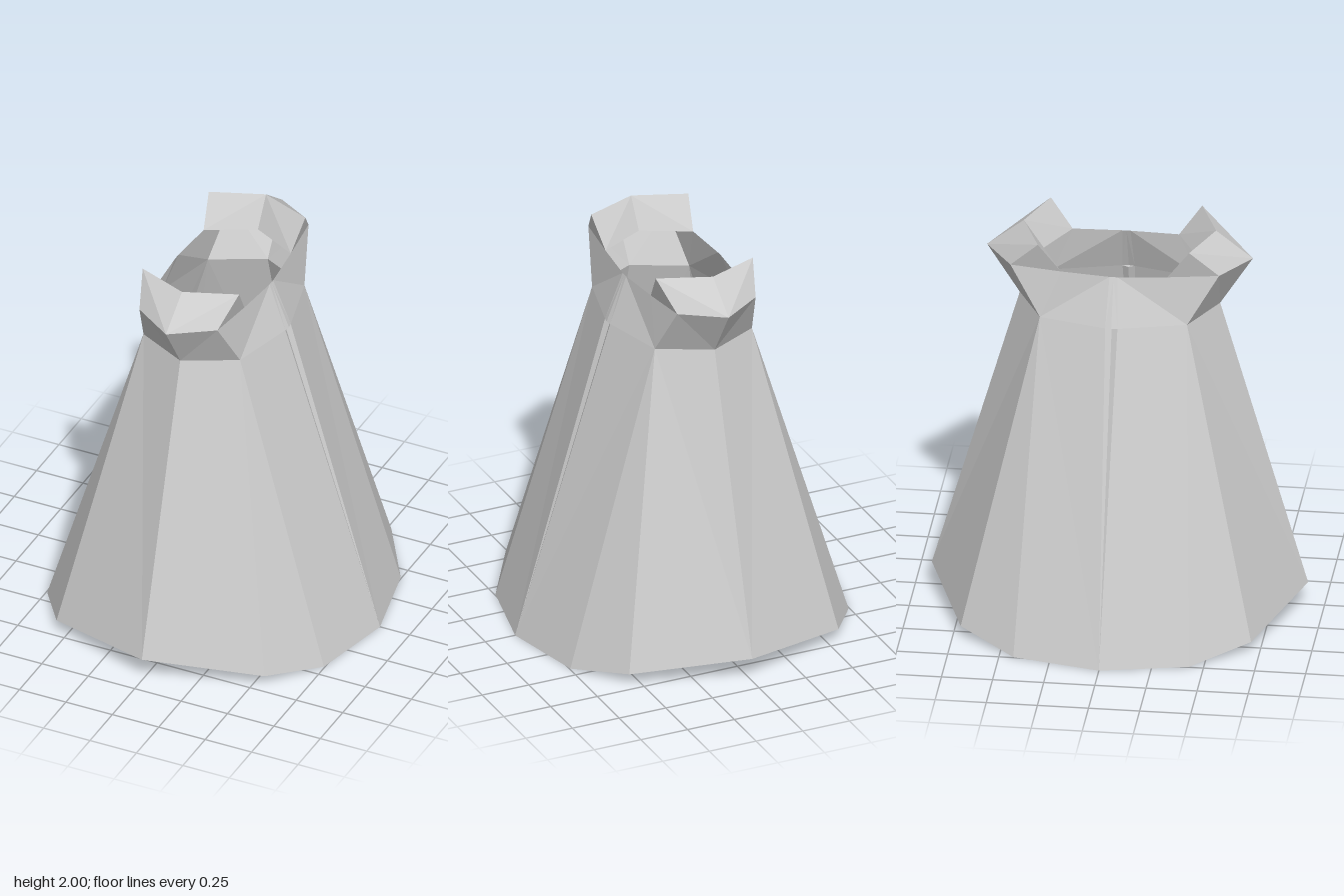
import * as THREE from 'three';

// Ring points of one quarter (x >= 0, z >= 0)
const P = {
  hemFront: [0, 0.12, 0.92], hemCorner: [0.56, 0.06, 0.71], hemSide: [0.745, 0, 0.43], hemEnd: [0.84, 0, 0],
  waistFront: [0, 1.61, 0.49], waistCorner: [0.26, 1.61, 0.36], waistSide: [0.345, 1.61, 0.03], waistEnd: [0.35, 1.61, 0],
  groove: [0.33, 1.61, 0],
  neckFront: [0, 1.86, 0.65], neckCorner: [0.21, 1.86, 0.51],
  rimFront: [0, 1.85, 0.38], rimCorner: [0.235, 1.85, 0.26], rimSide: [0.255, 1.845, 0.02], rimEnd: [0.255, 1.845, 0],
  collarFront: [0, 2, 0.47], collarCorner: [0.26, 2, 0.37],
  baseFold: [0, 0.05, 0.67], baseMid: [0, 0, 0.43], baseCentre: [0, 0, 0],
};

// Polygons of each part, counter-clockwise from outside
const PARTS = {
  skirt: [
    ['hemFront', 'hemCorner', 'waistCorner', 'waistFront'],
    ['waistCorner', 'hemCorner', 'hemSide', 'hemEnd', 'waistSide'],
  ],
  sideGroove: [
    ['hemEnd', 'groove', 'waistSide'],
    ['waistSide', 'groove', 'waistEnd'],
  ],
  neck: [
    ['waistFront', 'waistCorner', 'neckCorner', 'neckFront'],
    ['waistCorner', 'waistSide', 'rimSide', 'rimCorner', 'neckCorner'],
    ['waistSide', 'waistEnd', 'rimEnd', 'rimSide'],
  ],
  collar: [
    ['neckFront', 'neckCorner', 'collarCorner', 'collarFront'],
    ['neckCorner', 'rimCorner', 'collarCorner'],
    ['collarFront', 'collarCorner', 'rimCorner', 'rimFront'],
  ],
  base: [
    ['hemFront', 'baseFold', 'hemCorner'],
    ['hemCorner', 'baseFold', 'hemSide'],
    ['baseFold', 'baseMid', 'hemSide'],
    ['baseMid', 'baseCentre', 'hemEnd', 'hemSide'],
  ],
};

// Fan each polygon into triangles and mirror it into all four quarters
function mirroredGeometry(polygons) {
  const positions = [];
  for (const sx of [1, -1]) {
    for (const sz of [1, -1]) {
      for (const names of polygons) {
        const points = names.map((n) => [P[n][0] * sx, P[n][1], P[n][2] * sz]);
        if (sx * sz < 0) points.reverse();
        // keep the same fan corner after reversing
        if (sx * sz < 0) points.unshift(points.pop());
        for (let i = 1; i < points.length - 1; i++) {
          positions.push(...points[0], ...points[i], ...points[i + 1]);
        }
      }
    }
  }
  const geometry = new THREE.BufferGeometry();
  geometry.setAttribute('position', new THREE.Float32BufferAttribute(positions, 3));
  geometry.computeVertexNormals();
  return geometry;
}

export function createModel() {
  const group = new THREE.Group();
  group.name = 'flaredSkirt';
  const material = new THREE.MeshStandardMaterial({ color: 0xcccccc, side: THREE.DoubleSide, flatShading: true });
  material.name = 'light grey';
  for (const [name, polygons] of Object.entries(PARTS)) {
    const mesh = new THREE.Mesh(mirroredGeometry(polygons), material);
    mesh.name = name;
    group.add(mesh);
  }
  return group;
}
